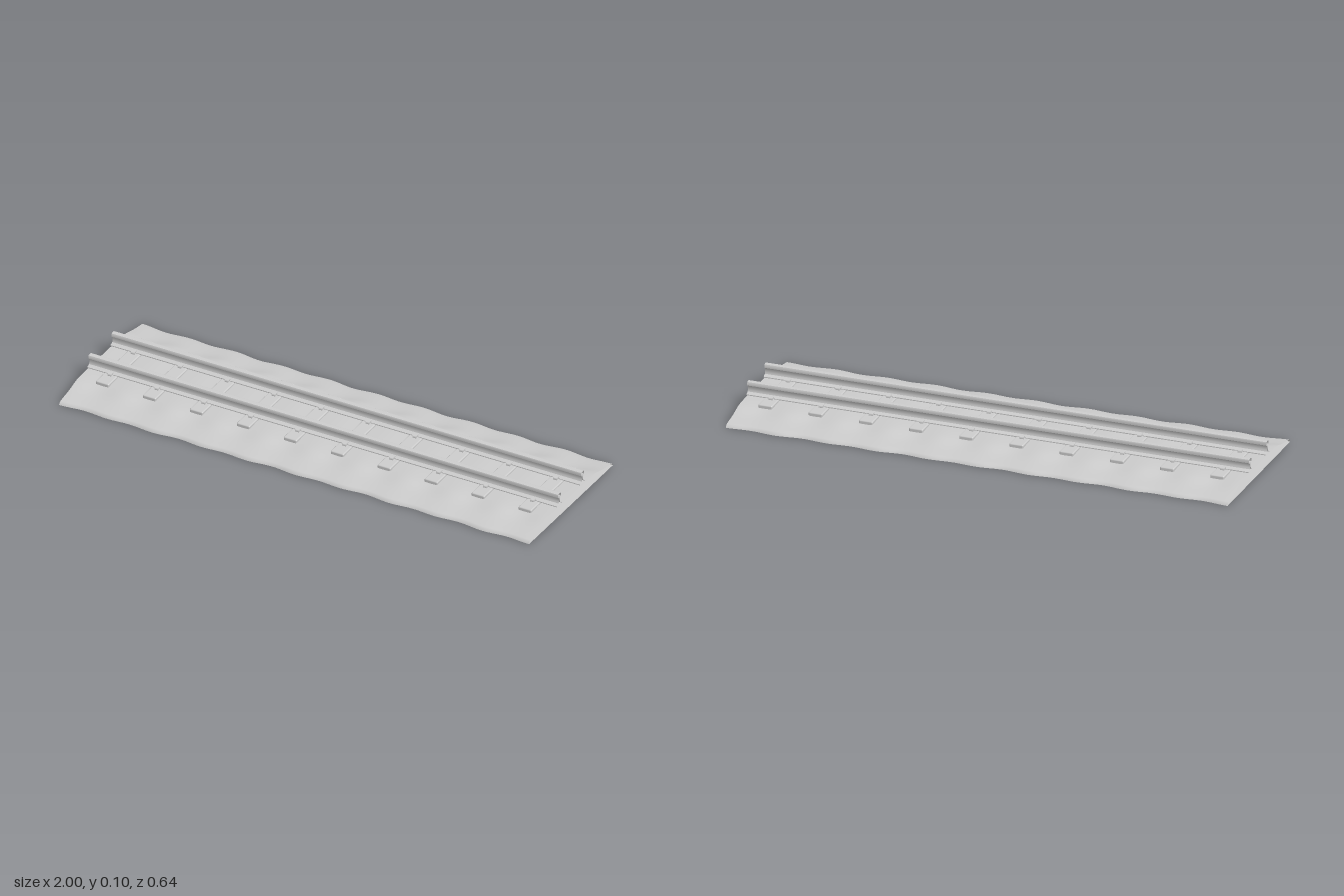
import * as THREE from 'three';
import { toCreasedNormals } from 'three/addons/utils/BufferGeometryUtils.js';
import { RoundedBoxGeometry } from 'three/addons/geometries/RoundedBoxGeometry.js';

const material = new THREE.MeshStandardMaterial({ color: 0xcccccc, side: THREE.DoubleSide });
const RAIL_Z = 0.088, SLEEPERS = 10, PITCH = 0.2;

// Open-ended sheet along x; section(x) returns a row of [z, y] points
function sweep(segments, section) {
  const count = section(0).length;
  const geo = new THREE.PlaneGeometry(2, 1, segments, count - 1);
  const pos = geo.attributes.position;
  for (let i = 0; i < pos.count; i++) {
    const x = pos.getX(i);
    const [z, y] = section(x)[Math.floor(i / (segments + 1))];
    pos.setXYZ(i, x, y, z);
  }
  geo.computeVertexNormals();
  return geo;
}

// +1 between sleepers, -1 at each sleeper
const wave = (x) => Math.cos((2 * Math.PI * x) / PITCH);
const edgeZ = (x) => 0.316 + 0.004 * wave(x) + 0.0015 * Math.sin(17 * x);

// Half section of the gravel bed, from the edge to the middle: [z share, y, dip at sleepers]
const bed = [
  [1, 0, 0], [0.988, 0.007, 0.001], [0.965, 0.012, 0.001], [0.9, 0.0155, 0.001],
  [0.8, 0.0205, 0.002], [0.72, 0.026, 0.004], [0.65, 0.0325, 0.006], [0.6, 0.0365, 0.006],
  [0.53, 0.0395, 0.005], [0.4, 0.041, 0.003], [0.2, 0.0415, 0.003], [0, 0.0415, 0.003],
];

function bedSection(x) {
  const half = bed.map(([s, y, dip]) => [s * edgeZ(x), y - dip * (1 - wave(x)) / 2]);
  const back = half.map(([z, y]) => [-z, y]);
  return [...back, ...half.slice(0, -1).reverse()];
}

// Half section of a rail, from the foot up to the head
const railHalf = [
  [0.019, 0.046], [0.019, 0.0495], [0.012, 0.0525], [0.006, 0.056], [0.004, 0.062],
  [0.004, 0.075], [0.006, 0.079], [0.011, 0.082], [0.0115, 0.091], [0.0095, 0.0955], [0.006, 0.097],
];
const railSection = [
  [0, 0.046],
  ...railHalf.map(([z, y]) => [-z, y]),
  ...[...railHalf].reverse(),
  [0, 0.046],
];

// Hooked clip that grips the rail foot; local +z points away from the rail
function clipGeometry() {
  const s = new THREE.Shape();
  s.moveTo(0.012, 0.0555);
  s.lineTo(0.025, 0.0555);
  s.quadraticCurveTo(0.031, 0.0555, 0.031, 0.049);
  s.lineTo(0.031, 0.043);
  s.lineTo(0.022, 0.043);
  s.lineTo(0.022, 0.0485);
  s.quadraticCurveTo(0.021, 0.051, 0.012, 0.0515);
  s.closePath();
  const geo = new THREE.ExtrudeGeometry(s, { depth: 0.016, bevelEnabled: false, curveSegments: 5 });
  geo.translate(0, 0, -0.008);
  geo.rotateY(-Math.PI / 2);
  return toCreasedNormals(geo, 0.6);
}

export function createModel() {
  const model = new THREE.Group();
  const add = (parent, name, geometry, x = 0, y = 0, z = 0) => {
    const mesh = new THREE.Mesh(geometry, material);
    mesh.name = name;
    mesh.position.set(x, y, z);
    parent.add(mesh);
    return mesh;
  };

  // Gravel bed: wavy top and flat underside
  add(model, 'gravelBed', sweep(160, bedSection));
  add(model, 'bedUnderside', sweep(160, (x) => [[edgeZ(x), 0], [-edgeZ(x), 0]]));

  // Two rails
  const railGeo = toCreasedNormals(sweep(1, () => railSection), 0.6);
  for (const side of [1, -1]) add(model, side > 0 ? 'frontRail' : 'backRail', railGeo, 0, 0, side * RAIL_Z);

  // Sleepers with a pair of clips on each rail
  const sleeperGeo = new RoundedBoxGeometry(0.056, 0.029, 0.346, 2, 0.005);
  const clipGeo = clipGeometry();
  for (let i = 0; i < SLEEPERS; i++) {
    const unit = new THREE.Group();
    unit.name = 'sleeperUnit';
    unit.position.x = (i - (SLEEPERS - 1) / 2) * PITCH;
    add(unit, 'sleeper', sleeperGeo, 0, 0.0325, 0);
    for (const side of [1, -1]) {
      add(unit, 'railClip', clipGeo, 0, 0, side * RAIL_Z);
      add(unit, 'railClip', clipGeo, 0, 0, side * RAIL_Z).rotation.y = Math.PI;
    }
    model.add(unit);
  }
  return model;
}
